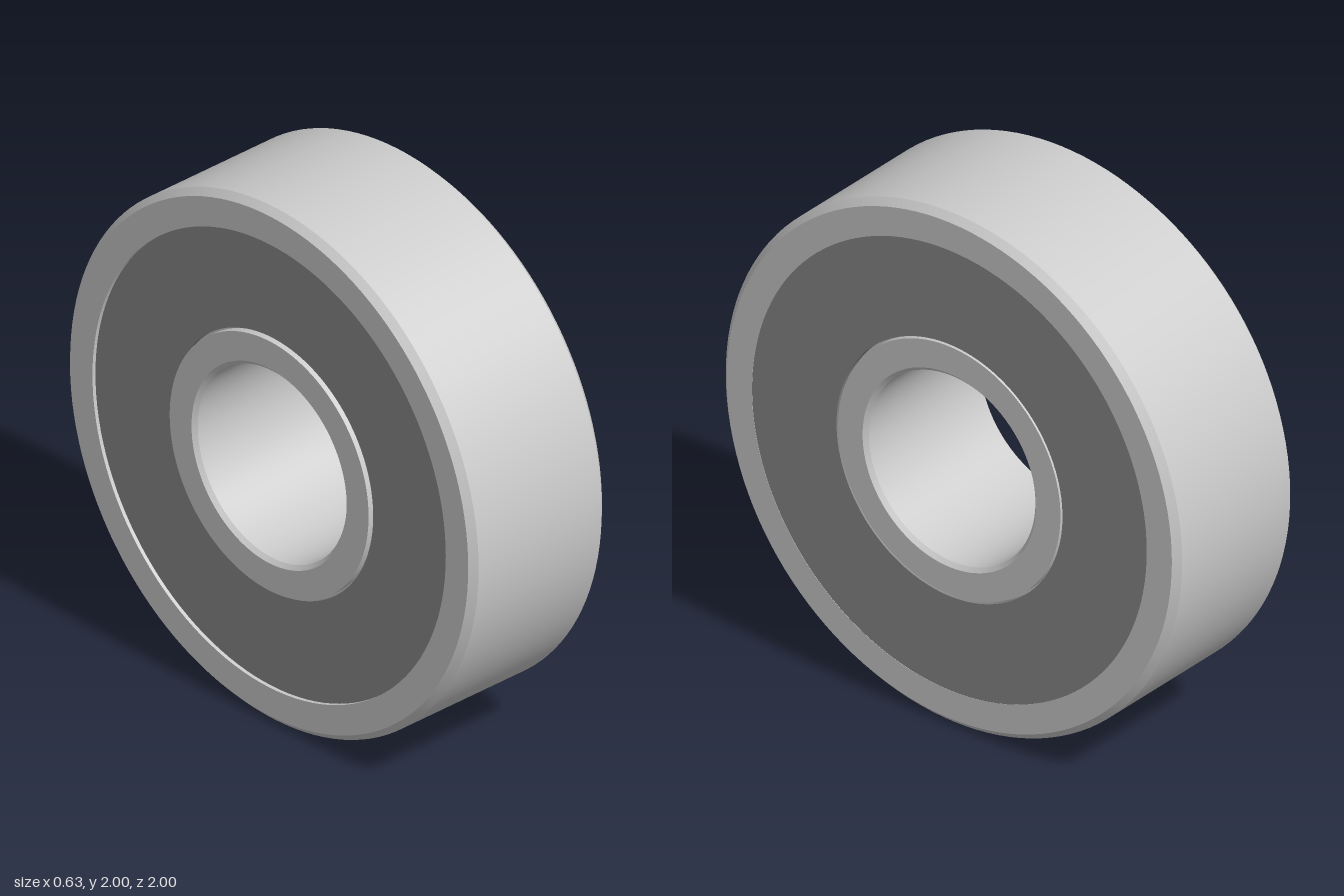
import * as THREE from 'three';
import { toCreasedNormals } from 'three/addons/utils/BufferGeometryUtils.js';

const HALF = 0.315; // half the bearing width

// Revolves a closed [radius, axial] profile, listed counter-clockwise, about the x axis.
function ring(name, profile, color) {
  const points = [...profile, profile[0]].map(([r, a]) => new THREE.Vector2(r, a));
  const geometry = toCreasedNormals(new THREE.LatheGeometry(points, 128), Math.PI / 7);
  geometry.rotateZ(-Math.PI / 2);
  const mesh = new THREE.Mesh(geometry, new THREE.MeshStandardMaterial({ color }));
  mesh.name = name;
  return mesh;
}

export function createModel() {
  const bearing = new THREE.Group();
  bearing.name = 'ballBearing';

  // Outer ring with chamfered outer rims
  bearing.add(ring('outerRing', [
    [0.865, -HALF], [0.975, -HALF], [1, -HALF + 0.025],
    [1, HALF - 0.025], [0.975, HALF], [0.865, HALF],
  ], 0xcccccc));

  // Inner ring: chamfered bore, and a small step beside each seal lip
  bearing.add(ring('innerRing', [
    [0.365, -HALF + 0.015], [0.38, -HALF], [0.487, -HALF], [0.487, -HALF + 0.03],
    [0.495, -HALF + 0.03], [0.495, HALF - 0.03], [0.487, HALF - 0.03],
    [0.487, HALF], [0.38, HALF], [0.365, HALF - 0.015],
  ], 0xcccccc));

  // Seals: flush on the left side, slightly recessed on the right side
  for (const [name, a, b] of [['leftSeal', HALF - 0.04, HALF - 0.001], ['rightSeal', -HALF + 0.014, -HALF + 0.054]]) {
    const [low, high] = [Math.min(a, b), Math.max(a, b)];
    bearing.add(ring(name, [[0.495, low], [0.865, low], [0.865, high], [0.495, high]], 0x8a8a8a));
  }

  bearing.position.y = 1;
  const model = new THREE.Group();
  model.add(bearing);
  return model;
}
